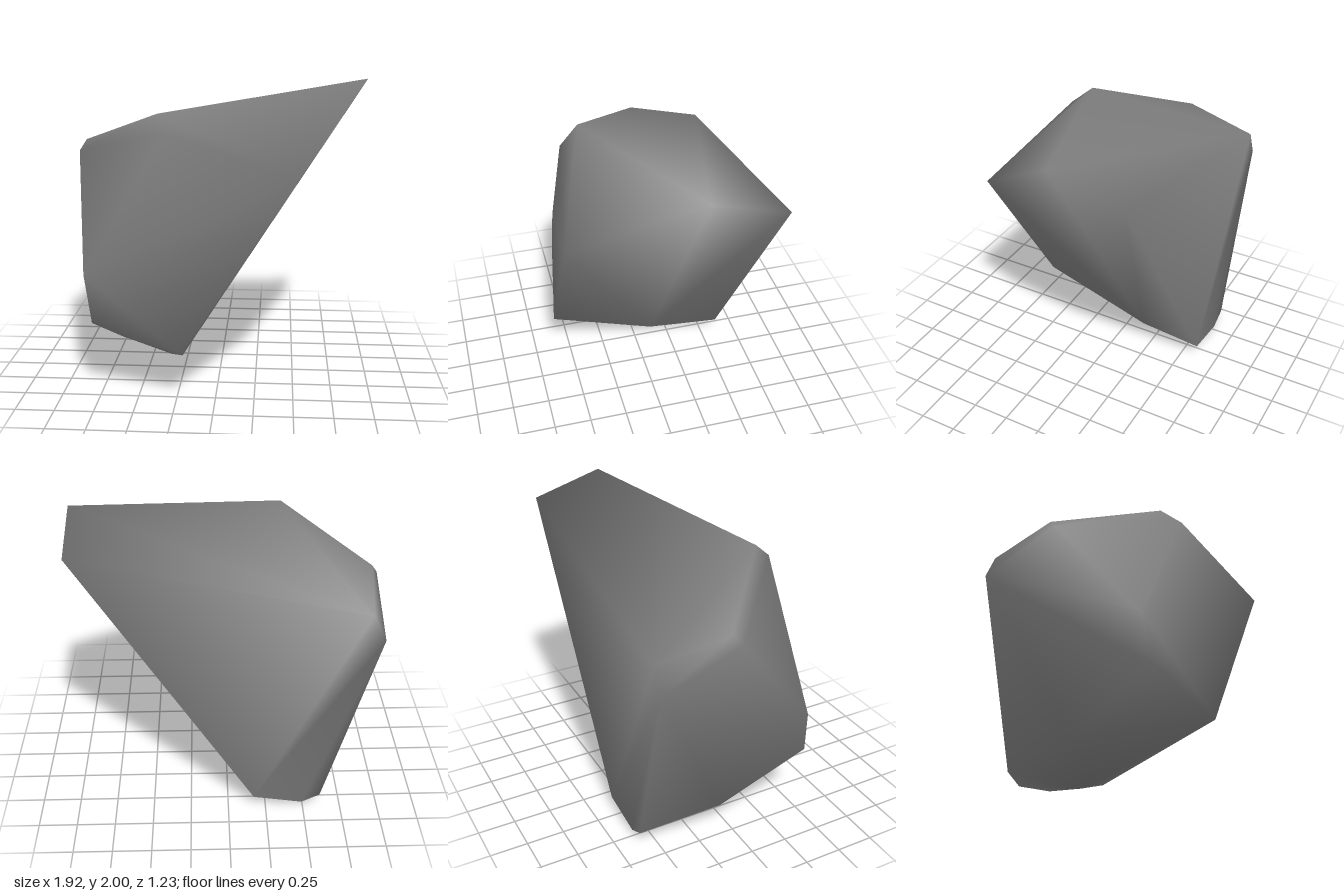
import * as THREE from 'three';
import { ConvexGeometry } from 'three/addons/geometries/ConvexGeometry.js';
import { mergeVertices } from 'three/addons/utils/BufferGeometryUtils.js';

// Corners of the boulder, grouped by region
const topCorners = [
  [0.96, 2.0, -0.13], [0.95, 1.87, -0.6], [-0.37, 1.82, 0.34],
  [-0.92, 1.58, -0.15], [-0.96, 1.51, -0.1], [-0.87, 1.48, -0.62], [-0.95, 1.31, -0.62],
];
const frontCorners = [
  [0.51, 1.48, 0.61], [-0.32, 1.71, 0.47], [-0.84, 0.81, 0.48],
  [-0.79, 0.5, 0.51], [-0.21, 0.34, 0.61],
];
const bottomCorners = [
  [-0.7, 0.19, -0.07], [-0.28, 0.03, -0.13], [-0.37, 0, -0.23],
  [-0.61, 0.1, -0.61], [-0.49, 0.04, -0.61], [-0.17, 0.09, -0.61],
];

export function createModel() {
  const stone = new THREE.MeshStandardMaterial({ color: 0x808080 });
  stone.name = 'grey stone';

  // Convex rock with shared corners, so the shading runs smoothly over the edges
  const points = [...topCorners, ...frontCorners, ...bottomCorners].map((p) => new THREE.Vector3(...p));
  const hull = new ConvexGeometry(points);
  hull.deleteAttribute('normal');
  const geometry = mergeVertices(hull, 1e-4);
  geometry.computeVertexNormals();

  const boulder = new THREE.Mesh(geometry, stone);
  boulder.name = 'boulder';

  const group = new THREE.Group();
  group.name = 'rock';
  group.add(boulder);
  return group;
}
